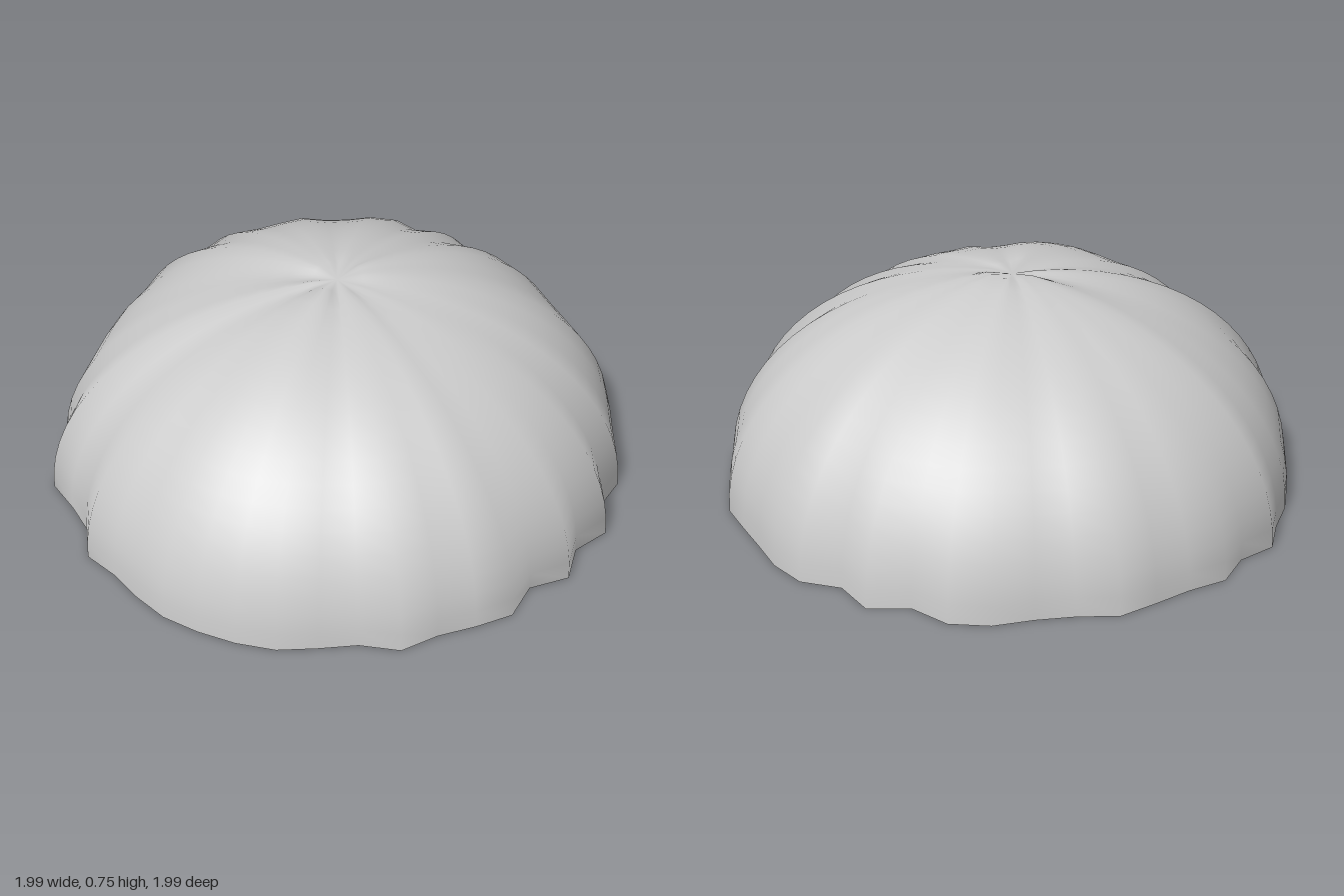
import * as THREE from 'three';
import { mergeVertices } from 'three/addons/utils/BufferGeometryUtils.js';

// Rim radius every 7.5 degrees, starting at +x and turning towards +z
const RIM = [
  0.99, 1.005, 0.987, 0.98, 0.993, 0.951, 1.003, 0.95, 1.0, 0.94, 0.996, 0.98,
  0.97, 1.0, 0.96, 0.973, 0.996, 1.0, 1.0, 1.0, 0.984, 0.97, 0.992, 0.941,
  0.955, 1.0, 0.958, 0.969, 0.957, 0.96, 0.969, 0.972, 1.01, 0.97, 1.009, 0.983,
  0.99, 1.01, 0.978, 0.979, 1.01, 1.016, 0.965, 1.018, 0.96, 1.013, 1.01, 0.99,
];
const N = RIM.length;
const HEIGHT = 0.75;

// One pass of smoothing around the ring
const soften = (ring) =>
  ring.map((r, i) => (ring[(i + N - 1) % N] + 2 * r + ring[(i + 1) % N]) / 4);

export function createModel() {
  const group = new THREE.Group();
  group.name = 'rippledDome';
  const shellGrey = new THREE.MeshStandardMaterial({ color: 0xcccccc, side: THREE.DoubleSide });
  shellGrey.name = 'shellGrey';

  const soft = soften(soften(RIM));

  // Open half sphere, flattened and rippled along its meridians
  let dome = new THREE.SphereGeometry(1, N, 18, 0, Math.PI * 2, 0, Math.PI / 2);
  dome.deleteAttribute('uv');
  dome.deleteAttribute('normal');
  const p = dome.attributes.position;
  for (let i = 0; i < p.count; i++) {
    const x = p.getX(i), y = p.getY(i), z = p.getZ(i);
    const spread = Math.hypot(x, z);
    if (spread < 1e-4) {
      p.setXYZ(i, 0, HEIGHT * 0.97, 0); // dimple at the crown
      continue;
    }
    const k = (Math.round((Math.atan2(z, x) / (Math.PI * 2)) * N) + N) % N;
    // ripples are sharp at the rim and soften towards the crown
    const f = THREE.MathUtils.lerp(RIM[k], soft[k], y * y);
    p.setXYZ(i, x * f, Math.max(0, y * HEIGHT * f), z * f);
  }
  dome = mergeVertices(dome, 1e-4);
  dome.computeVertexNormals();

  const shell = new THREE.Mesh(dome, shellGrey);
  shell.name = 'domeShell';
  group.add(shell);
  return group;
}
